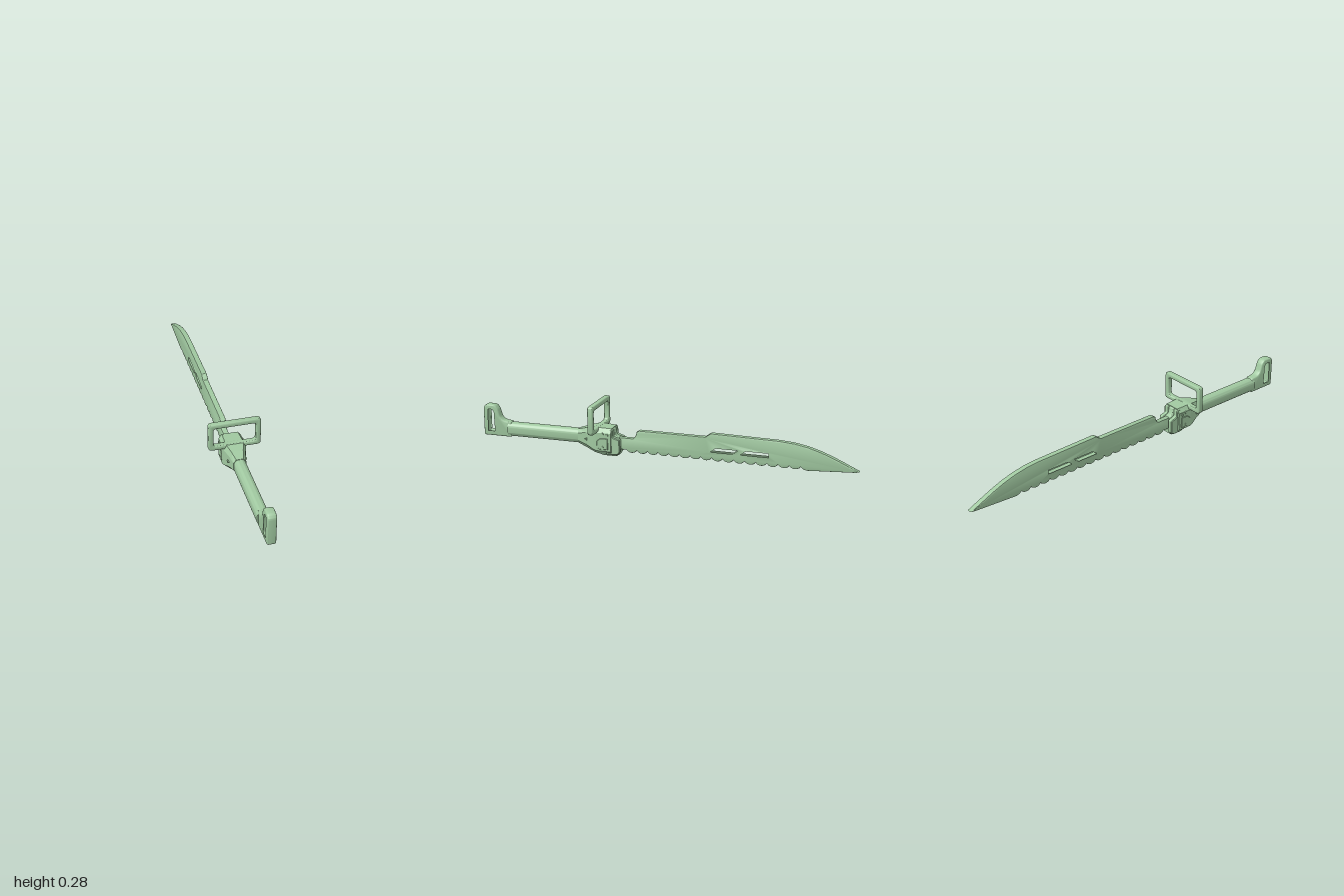
import * as THREE from 'three';
import { toCreasedNormals } from 'three/addons/utils/BufferGeometryUtils.js';

const material = new THREE.MeshStandardMaterial({ color: 0xa0c8a0, side: THREE.DoubleSide });
const flat = new THREE.MeshStandardMaterial({ color: 0xa0c8a0, flatShading: true });

function add(parent, name, geometry, mat = material) {
  const mesh = new THREE.Mesh(geometry, mat);
  mesh.name = name;
  parent.add(mesh);
  return mesh;
}

// Polygon with rounded corners
function roundedPath(points, r, Type = THREE.Shape) {
  const path = new Type();
  const v = points.map(p => new THREE.Vector2(...p));
  v.forEach((p, i) => {
    const prev = v[(i + v.length - 1) % v.length], next = v[(i + 1) % v.length];
    const a = p.clone().lerp(prev, Math.min(0.45, r / p.distanceTo(prev)));
    const b = p.clone().lerp(next, Math.min(0.45, r / p.distanceTo(next)));
    if (i) path.lineTo(a.x, a.y); else path.moveTo(a.x, a.y);
    path.quadraticCurveTo(p.x, p.y, b.x, b.y);
  });
  path.closePath();
  return path;
}

// Bevelled slab centred on its thickness, keeping the outline size
function slab(shape, thickness, bevel, segments = 3, curveSegments = 5) {
  const depth = thickness - 2 * bevel;
  const g = new THREE.ExtrudeGeometry(shape, {
    depth, curveSegments, bevelThickness: bevel, bevelSize: bevel,
    bevelOffset: -bevel, bevelSegments: segments
  });
  return toCreasedNormals(g.translate(0, 0, -depth / 2), 0.6);
}

// Turn a slab drawn as (-z, y) into the side plane
const side = (geometry, x = 0) => geometry.rotateY(Math.PI / 2).translate(x, 0, 0);
const zy = points => points.map(([z, y]) => [-z, y]);

// Loft of chamfered sections: [z, bottom, lowerCorner, upperCorner, top, wBottom, wSide, wTop]
function loft(sections) {
  const pos = [], idx = [], n = 8;
  for (const [z, y0, y1, y2, y3, a, w, b] of sections)
    for (const [x, y] of [[a, y0], [w, y1], [w, y2], [b, y3], [-b, y3], [-w, y2], [-w, y1], [-a, y0]])
      pos.push(x, y, z);
  const last = (sections.length - 1) * n;
  for (let s = 0; s < last; s += n)
    for (let j = 0; j < n; j++) {
      const k = (j + 1) % n;
      idx.push(s + j, s + k, s + n + k, s + j, s + n + k, s + n + j);
    }
  for (let j = 1; j < n - 1; j++) idx.push(0, j + 1, j, last, last + j, last + j + 1);
  const g = new THREE.BufferGeometry();
  g.setAttribute('position', new THREE.Float32BufferAttribute(pos, 3));
  g.setIndex(idx);
  g.computeVertexNormals();
  return g;
}

function bladeGeometry() {
  const s = new THREE.Shape();
  // Tang, spine and curved point
  s.moveTo(-0.29, 0.035);
  s.lineTo(-0.29, 0.1);
  s.lineTo(-0.165, 0.1);
  s.quadraticCurveTo(-0.15, 0.105, -0.145, 0.135);
  s.lineTo(-0.13, 0.145);
  s.lineTo(0.22, 0.145);
  s.lineTo(0.25, 0.166);
  s.lineTo(0.6, 0.16);
  s.bezierCurveTo(0.76, 0.155, 0.86, 0.105, 1, 0.038);
  s.lineTo(0.98, 0.034);
  s.lineTo(0.74, 0.02);
  s.quadraticCurveTo(0.72, 0.024, 0.71, 0.036);
  // Scalloped teeth
  const teeth = 16, from = 0.71, to = -0.2, step = (to - from) / teeth;
  for (let i = 0; i < teeth; i++) {
    const x = from + i * step;
    s.bezierCurveTo(x + step * 0.2, 0.017, x + step * 0.8, 0.017, x + step, 0.036);
  }
  // Slanted windows
  s.holes.push(
    roundedPath([[0.23, 0.063], [0.272, 0.096], [0.41, 0.096], [0.365, 0.063]], 0.008, THREE.Path),
    roundedPath([[0.385, 0.063], [0.43, 0.096], [0.555, 0.096], [0.555, 0.063]], 0.008, THREE.Path)
  );
  return side(slab(s, 0.03, 0.006, 2, 6));
}

export function createModel() {
  const model = new THREE.Group();
  model.name = 'bayonet';

  add(model, 'blade', bladeGeometry());

  // Handle
  const gripShape = roundedPath([[-0.014, 0.05], [0.014, 0.05], [0.03, 0.068], [0.03, 0.107],
    [0.016, 0.125], [-0.016, 0.125], [-0.03, 0.107], [-0.03, 0.068]], 0.009);
  const grip = new THREE.ExtrudeGeometry(gripShape, { depth: 0.43, bevelEnabled: false, curveSegments: 4 });
  add(model, 'grip', toCreasedNormals(grip.translate(0, 0, 0.43), 0.6));

  // Pommel loop
  const pommel = roundedPath(zy([[1, 0.046], [1, 0.2], [0.985, 0.215], [0.935, 0.215], [0.918, 0.195],
    [0.905, 0.15], [0.885, 0.133], [0.84, 0.128], [0.84, 0.046]]), 0.012);
  pommel.holes.push(roundedPath(zy([[0.982, 0.064], [0.982, 0.198], [0.945, 0.198],
    [0.932, 0.18], [0.928, 0.064]]), 0.008, THREE.Path));
  add(model, 'pommelLoop', side(slab(pommel, 0.045, 0.008)));

  // Guard body
  const guard = new THREE.Group();
  guard.name = 'guard';
  model.add(guard);
  add(guard, 'guardBody', loft([
    [0.27, 0.006, 0.03, 0.128, 0.15, 0.027, 0.057, 0.04],
    [0.35, 0.008, 0.032, 0.128, 0.153, 0.027, 0.059, 0.044],
    [0.37, 0.014, 0.038, 0.125, 0.151, 0.026, 0.055, 0.042],
    [0.41, 0.03, 0.055, 0.118, 0.142, 0.02, 0.042, 0.03],
    [0.46, 0.05, 0.068, 0.108, 0.127, 0.015, 0.032, 0.018]
  ]), flat);
  add(guard, 'lowerBlock', loft([
    [0.235, 0.01, 0.022, 0.03, 0.04, 0.018, 0.03, 0.03],
    [0.25, 0, 0.016, 0.03, 0.04, 0.024, 0.035, 0.03],
    [0.32, 0, 0.016, 0.03, 0.04, 0.024, 0.035, 0.03],
    [0.39, 0.02, 0.03, 0.04, 0.05, 0.022, 0.03, 0.025]
  ]), flat);
  // Centre catch over the blade neck
  add(guard, 'catch', side(slab(roundedPath(zy([[0.3, 0.09], [0.3, 0.15], [0.265, 0.148],
    [0.258, 0.11], [0.235, 0.1], [0.24, 0.085]]), 0.01), 0.036, 0.005)));

  // Jaws, fasteners and recessed markers on both sides
  for (const sgn of [1, -1]) {
    add(guard, 'jaw', side(slab(roundedPath(zy([[0.3, 0.012], [0.3, 0.146], [0.265, 0.146],
      [0.262, 0.105], [0.225, 0.095], [0.225, 0.025], [0.24, 0.012]]), 0.007), 0.028, 0.004, 1), sgn * 0.033));
    add(guard, 'sidePanel', side(slab(roundedPath(zy([[0.345, 0.05], [0.345, 0.085], [0.325, 0.1],
      [0.285, 0.1], [0.285, 0.04], [0.33, 0.04]]), 0.004), 0.008, 0.002, 1), sgn * 0.057));
    for (const [z, y] of [[0.315, 0.123], [0.29, 0.117], [0.315, 0.053]]) {
      const bolt = add(guard, 'bolt', new THREE.CylinderGeometry(0.007, 0.008, 0.012, 12));
      bolt.rotation.z = -sgn * Math.PI / 2;
      bolt.position.set(sgn * 0.057, y, z);
    }
    const stud = add(guard, 'sideStud', new THREE.CylinderGeometry(0.008, 0.01, 0.012, 3));
    stud.rotation.z = -sgn * Math.PI / 2;
    stud.position.set(sgn * 0.043, 0.085, 0.408);
  }

  // Upright rectangular ring
  const rect = (x, y0, y1) => [[-x, y0], [x, y0], [x, y1], [-x, y1]];
  const ring = roundedPath(rect(0.131, 0.13, 0.281), 0.018);
  ring.holes.push(roundedPath(rect(0.106, 0.154, 0.255), 0.014, THREE.Path));
  add(model, 'ring', slab(ring, 0.03, 0.007).translate(0, 0, 0.353));

  return model;
}
